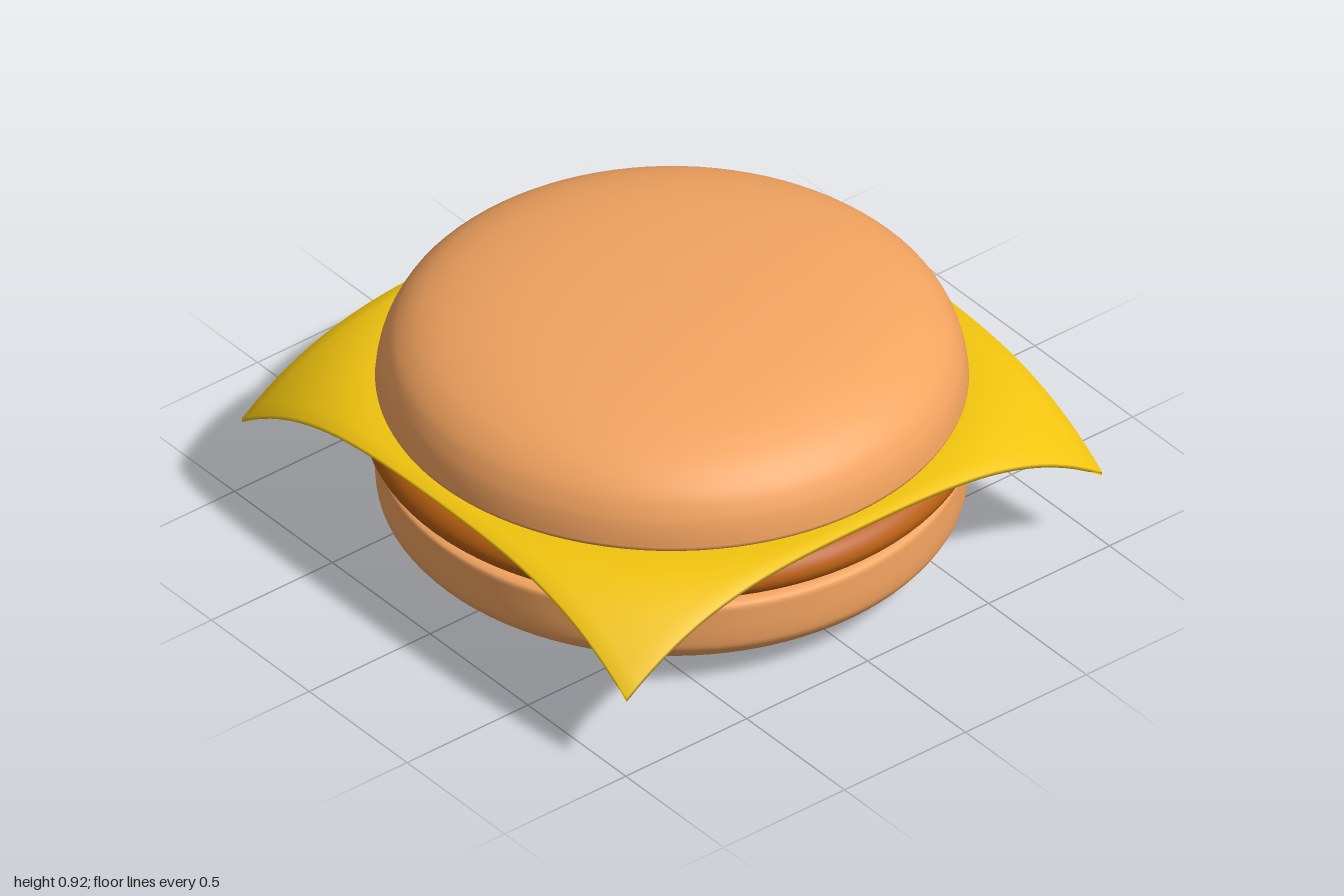
import * as THREE from 'three';
import { mergeVertices } from 'three/addons/utils/BufferGeometryUtils.js';

const BUN = 0xf4a460, PATTY = 0xba6012, CHEESE = 0xf1c40f;

const mesh = (name, geometry, color) => {
  const m = new THREE.Mesh(geometry, new THREE.MeshStandardMaterial({ color }));
  m.name = name;
  return m;
};

// Turns [radius, height] pairs into a smooth round body, listed bottom to top
const turned = (pairs, closeBelow = [], closeAbove = []) => {
  const v = (list) => list.map(([r, y]) => new THREE.Vector2(r, y));
  const curve = new THREE.SplineCurve(v(pairs)).getPoints(48);
  curve.forEach((p) => { p.x = Math.max(p.x, 0); });
  return new THREE.LatheGeometry([...v(closeBelow), ...curve, ...v(closeAbove)], 96);
};

// Thin square slice that lies flat inside a circle and droops at the corners
function cheeseGeometry() {
  const size = 1.966;
  let geo = new THREE.BoxGeometry(size, 0.015, size, 40, 1, 40);
  geo.deleteAttribute('normal');
  geo.deleteAttribute('uv');
  geo = mergeVertices(geo);
  const p = geo.attributes.position;
  const flat = 0.94, corner = size * Math.SQRT1_2;
  for (let i = 0; i < p.count; i++) {
    const r = Math.hypot(p.getX(i), p.getZ(i));
    const t = Math.max(0, (r - flat) / (corner - flat));
    p.setY(i, p.getY(i) + 0.533 - 0.245 * t * t);
  }
  geo.computeVertexNormals();
  return geo;
}

export function createModel() {
  const burger = new THREE.Group();
  burger.name = 'burger';

  // Bottom bun: rounded underside, straight wall, cut top with a small bevel
  burger.add(mesh('bottomBun', turned(
    [[0, 0.003], [0.3, 0.007], [0.55, 0.02], [0.75, 0.05], [0.88, 0.1], [0.94, 0.155], [0.955, 0.21], [0.955, 0.325]],
    [],
    [[0.95, 0.336], [0.93, 0.342], [0.9, 0.344], [0, 0.352]]), BUN));

  // Patty: flat disc with a rounded rim
  burger.add(mesh('patty', turned(
    [[0.88, 0.364], [0.95, 0.377], [0.985, 0.4], [1, 0.437], [0.985, 0.475], [0.95, 0.5], [0.88, 0.516]],
    [[0, 0.354], [0.85, 0.362]],
    [[0.85, 0.518], [0, 0.525]]), PATTY));

  burger.add(mesh('cheese', cheeseGeometry(), CHEESE));

  // Top bun: shallow dome over a nearly flat cut face
  burger.add(mesh('topBun', turned(
    [[0.955, 0.575], [0.947, 0.63], [0.93, 0.685], [0.89, 0.75], [0.81, 0.812], [0.68, 0.862], [0.5, 0.897], [0.25, 0.92], [0, 0.927]],
    [[0, 0.546], [0.9, 0.557], [0.93, 0.56], [0.95, 0.566]]), BUN));

  return burger;
}
